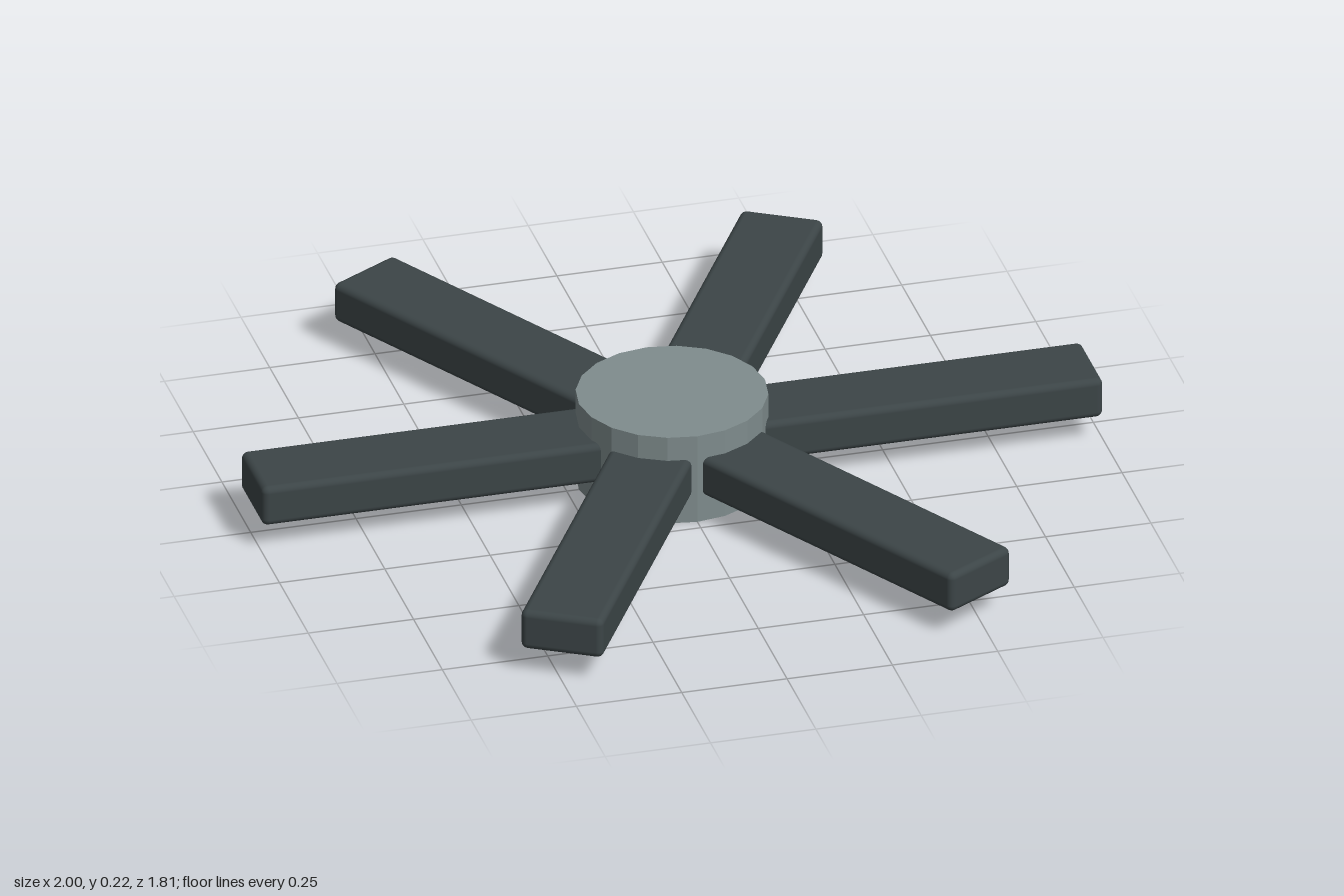
import * as THREE from 'three';
import { RoundedBoxGeometry } from 'three/addons/geometries/RoundedBoxGeometry.js';

const HUB_RADIUS = 0.221, HUB_HEIGHT = 0.223;
const ARM_COUNT = 6, ARM_INNER = 0.1, ARM_OUTER = 0.998;
const ARM_HEIGHT = 0.1, ARM_WIDTH = 0.195, ARM_ROUNDING = 0.016;

export function createModel() {
  const model = new THREE.Group();
  model.name = 'sixArmedHub';

  // Faceted central disc
  const hub = new THREE.Mesh(
    new THREE.CylinderGeometry(HUB_RADIUS, HUB_RADIUS, HUB_HEIGHT, 20),
    new THREE.MeshStandardMaterial({ color: 0x7f8c8d, flatShading: true })
  );
  hub.name = 'hub';
  hub.position.y = HUB_HEIGHT / 2;
  model.add(hub);

  // Softly rounded bars radiating from the hub, rooted inside it
  const armGeometry = new RoundedBoxGeometry(
    ARM_OUTER - ARM_INNER, ARM_HEIGHT, ARM_WIDTH, 3, ARM_ROUNDING
  );
  armGeometry.translate((ARM_OUTER + ARM_INNER) / 2, 0, 0);
  const armMaterial = new THREE.MeshStandardMaterial({ color: 0x3c4547 });
  for (let i = 0; i < ARM_COUNT; i++) {
    const arm = new THREE.Mesh(armGeometry, armMaterial);
    arm.name = `arm${i + 1}`;
    arm.position.y = 0.113;
    arm.rotation.y = (i / ARM_COUNT) * Math.PI * 2;
    model.add(arm);
  }

  return model;
}
